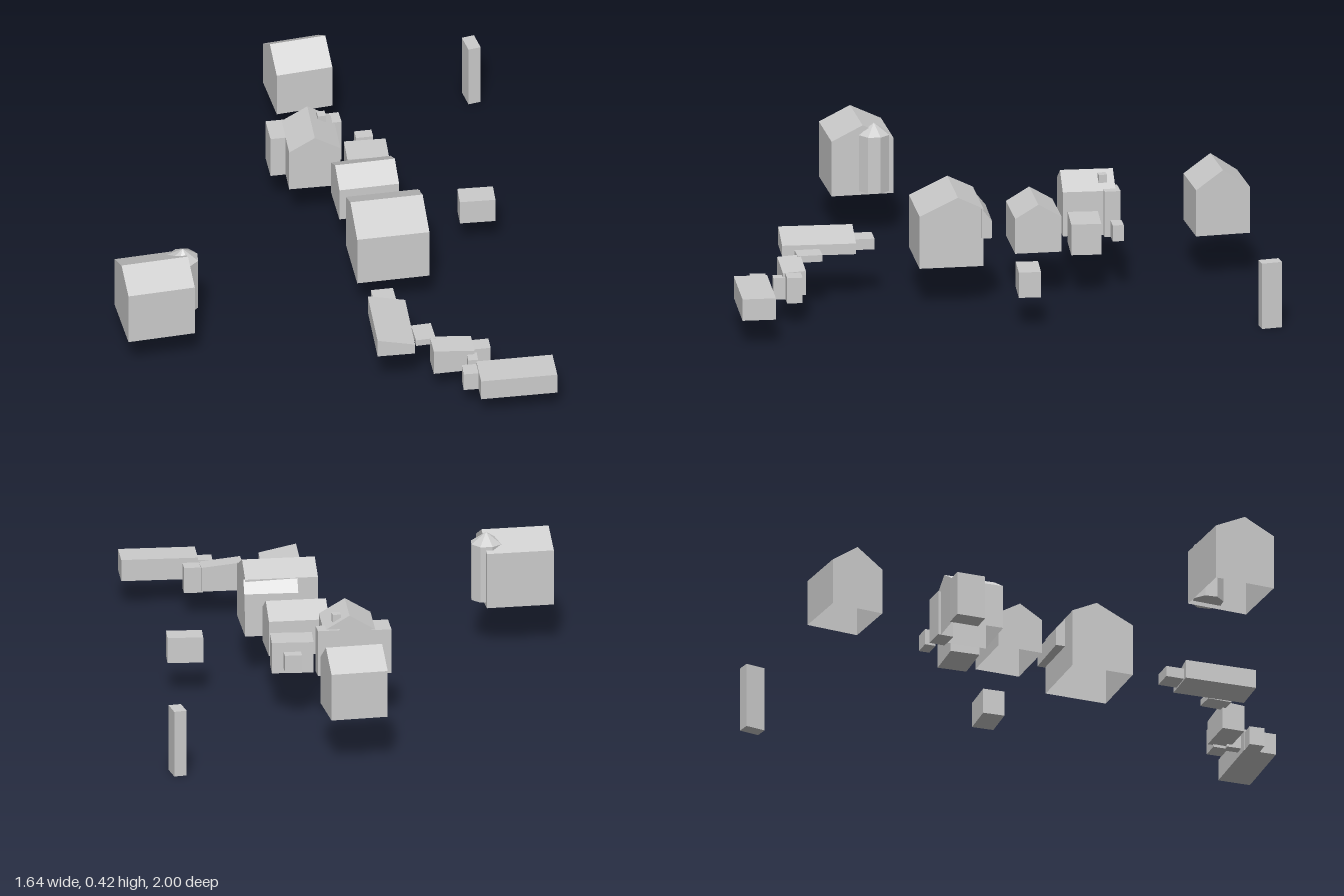
import * as THREE from 'three';

const material = new THREE.MeshStandardMaterial({ color: 0xcccccc, flatShading: true, side: THREE.DoubleSide });

// Mesh from flat polygons, each fanned into triangles
function facesMesh(name, polygons) {
  const pos = [];
  for (const p of polygons)
    for (let i = 1; i < p.length - 1; i++) pos.push(...p[0], ...p[i], ...p[i + 1]);
  const g = new THREE.BufferGeometry();
  g.setAttribute('position', new THREE.Float32BufferAttribute(pos, 3));
  g.computeVertexNormals();
  const mesh = new THREE.Mesh(g, material);
  mesh.name = name;
  return mesh;
}

// Point maker for a turned rectangle: s runs along its width, t towards its front, both -0.5 to 0.5
function footprint(x, z, width, depth, degrees) {
  const angle = THREE.MathUtils.degToRad(degrees);
  const c = Math.cos(angle), s = Math.sin(angle);
  return (u, y, v) => [x + u * width * c + v * depth * s, y, z - u * width * s + v * depth * c];
}

// Corners front-left, front-right, back-right, back-left
const corners = (at, heights) => [
  at(-0.5, heights[0], 0.5), at(0.5, heights[1], 0.5),
  at(0.5, heights[2], -0.5), at(-0.5, heights[3], -0.5),
];

// Closed block; each corner's top may have its own height
function block(name, at, base, ...heights) {
  const tops = heights.length === 1 ? Array(4).fill(heights[0]) : heights;
  const low = corners(at, Array(4).fill(base));
  const high = corners(at, tops);
  const walls = low.map((p, i) => {
    const j = (i + 1) % 4;
    return [p, low[j], high[j], high[i]];
  });
  return facesMesh(name, [...walls, high, [...low].reverse()]);
}

// Gabled house without a floor, its ridge along the width
function house(name, at, base, eave, ridge, backEave = eave, ridgeV = 0) {
  const [A, B, C, D] = corners(at, Array(4).fill(base));
  const [ea, eb, ec, ed] = corners(at, [eave, eave, backEave, backEave]);
  const r0 = at(-0.5, ridge, ridgeV), r1 = at(0.5, ridge, ridgeV);
  return facesMesh(name, [
    [A, B, eb, ea], [C, D, ed, ec],
    [B, C, ec, r1, eb], [D, A, ea, r0, ed],
    [ea, eb, r1, r0], [ec, ed, r0, r1],
  ]);
}

// Eight-sided turret with a pointed roof
function makeTurret() {
  const turret = new THREE.Group();
  turret.name = 'turret';
  const body = new THREE.Mesh(new THREE.CylinderGeometry(0.058, 0.058, 0.21, 8), material);
  body.name = 'turretBody';
  body.position.y = 0.275;
  const roof = new THREE.Mesh(new THREE.ConeGeometry(0.058, 0.04, 8), material);
  roof.name = 'turretRoof';
  roof.position.y = 0.4;
  turret.add(body, roof);
  turret.position.set(-0.585, 0, 0.745);
  return turret;
}

export function createModel() {
  const village = new THREE.Group();
  village.name = 'village';

  // Pitched houses
  village.add(
    house('backHouse', footprint(-0.586, -0.559, 0.205, 0.197, 33), 0.175, 0.348, 0.417),
    house('middleHouse', footprint(-0.154, -0.022, 0.217, 0.168, 29), 0.18, 0.31, 0.36),
    house('largeHouse', footprint(0.021, 0.247, 0.262, 0.231, 28.5), 0.155, 0.35, 0.415, 0.37, -0.1),
    house('frontHouse', footprint(-0.659, 0.839, 0.243, 0.226, 31), 0.155, 0.36, 0.415),
    house('gabledHall', footprint(-0.394, -0.134, 0.19, 0.185, 116.5), 0.18, 0.345, 0.4),
  );

  // Overhanging bay behind the large house, and the front house's turret
  village.add(
    block('overhangingBay', footprint(-0.005, 0.114, 0.194, 0.036, 27), 0.26, 0.37, 0.37, 0.325, 0.325),
    makeTurret(),
  );

  // Lone tower and shed
  village.add(
    block('tower', footprint(-0.064, -0.955, 0.046, 0.075, 37), 0, 0.245),
    block('detachedShed', footprint(0.226, -0.141, 0.128, 0.08, 25), 0.125, 0.22),
  );

  // Additions around the gabled hall
  village.add(
    block('hallSideWing', footprint(-0.516, -0.126, 0.072, 0.107, 28), 0.18, 0.345),
    block('hallRearWing', footprint(-0.361, -0.239, 0.08, 0.058, 30), 0.18, 0.35),
    block('hallChimney', footprint(-0.378, -0.2, 0.03, 0.03, 30), 0.3, 0.395),
    block('lowBlock', footprint(-0.206, -0.196, 0.15, 0.108, 25), 0.165, 0.28),
    block('smallShed', footprint(-0.252, -0.303, 0.062, 0.04, 28), 0.2, 0.26),
  );

  // Row of low buildings along the front
  village.add(
    block('rowBarn', footprint(0.179, 0.68, 0.135, 0.266, 26), 0.18, 0.25, 0.22, 0.22, 0.25),
    block('rowBarnAnnex', footprint(0.104, 0.54, 0.08, 0.085, 28), 0.185, 0.225),
    block('rowLink', footprint(0.296, 0.67, 0.072, 0.09, 30), 0.18, 0.205),
    block('rowCottage', footprint(0.412, 0.692, 0.148, 0.083, 28), 0.1, 0.2, 0.185, 0.19, 0.205),
    block('rowShed', footprint(0.503, 0.65, 0.068, 0.056, 27), 0.09, 0.185),
    block('rowShedAnnex', footprint(0.492, 0.706, 0.036, 0.052, 25), 0.09, 0.17),
    block('longBarn', footprint(0.67, 0.737, 0.275, 0.12, 26.7), 0.1, 0.18),
    block('longBarnEnd', footprint(0.513, 0.782, 0.06, 0.056, 25), 0.1, 0.17),
  );

  return village;
}
